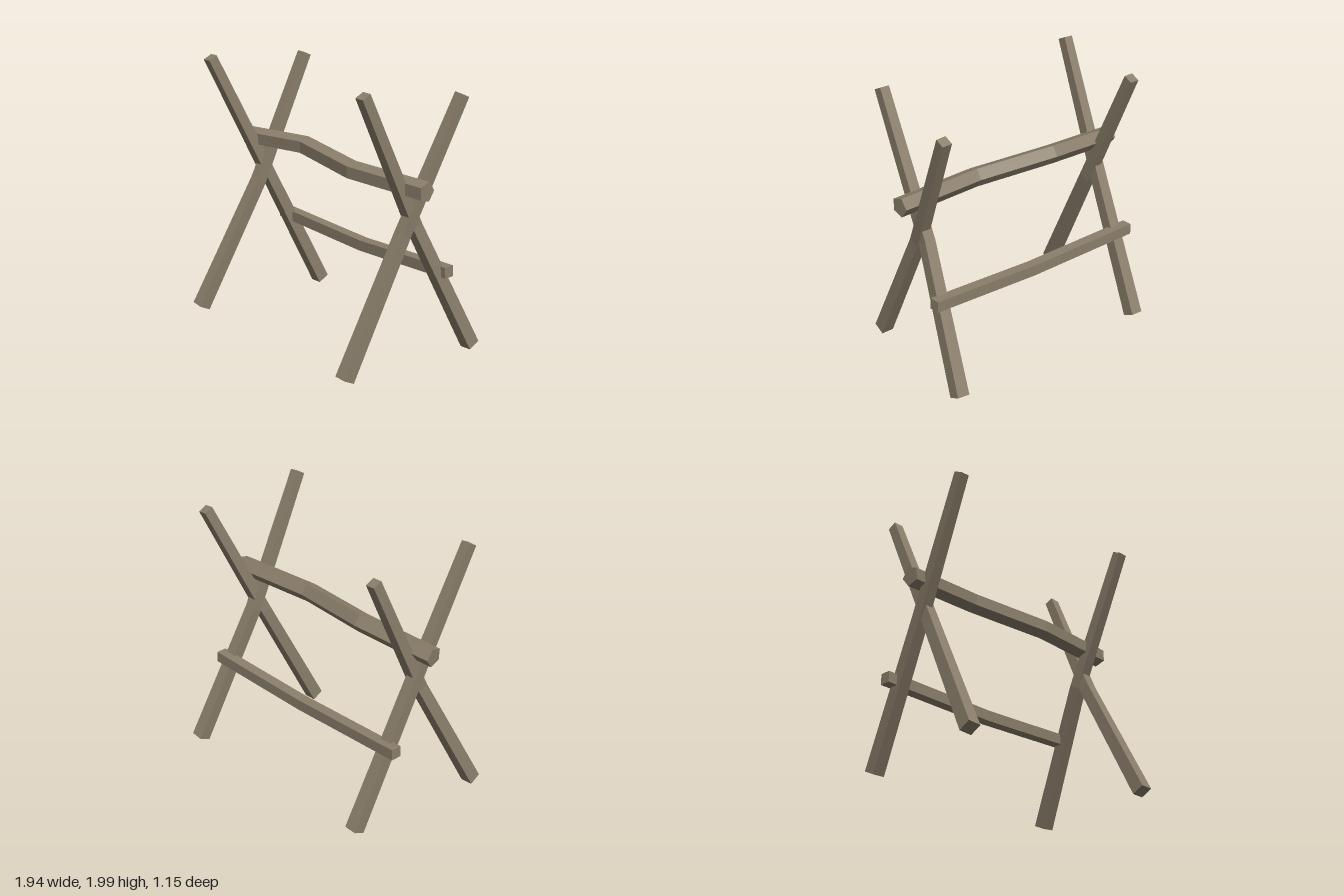
import * as THREE from 'three';

// A bent timber: an n-sided section swept along points, mitred at each bend.
// One flat of the section faces 'ref'; radii gives the corner radius per point.
function timber(points, radii, sides, ref) {
  const path = points.map((p) => new THREE.Vector3(...p));
  const last = path.length - 1;
  const positions = [];
  const index = [];

  path.forEach((p, i) => {
    const t = new THREE.Vector3();
    if (i > 0) t.add(p.clone().sub(path[i - 1]).normalize());
    if (i < last) t.add(path[i + 1].clone().sub(p).normalize());
    t.normalize();
    const v = t.clone().cross(ref).normalize();
    const u = v.clone().cross(t);
    for (let j = 0; j < sides; j++) {
      const a = ((j + 0.5) * 2 * Math.PI) / sides;
      const c = p.clone()
        .addScaledVector(u, Math.cos(a) * radii[i])
        .addScaledVector(v, Math.sin(a) * radii[i]);
      positions.push(c.x, c.y, c.z);
    }
  });

  // Side faces
  for (let i = 0; i < last; i++) {
    for (let j = 0; j < sides; j++) {
      const k = (j + 1) % sides;
      const a = i * sides + j, b = i * sides + k;
      index.push(a, b, b + sides, a, b + sides, a + sides);
    }
  }
  // End caps
  const end = last * sides;
  for (let j = 1; j < sides - 1; j++) {
    index.push(0, j + 1, j, end, end + j, end + j + 1);
  }

  const indexed = new THREE.BufferGeometry();
  indexed.setAttribute('position', new THREE.Float32BufferAttribute(positions, 3));
  indexed.setIndex(index);
  const geometry = indexed.toNonIndexed(); // separate faces keep the edges sharp
  geometry.computeVertexNormals();
  return geometry;
}

export function createModel() {
  const model = new THREE.Group();
  model.name = 'woodenRack';

  const wood = new THREE.MeshStandardMaterial({ color: 0x8b7f6b });
  wood.name = 'weatheredWood';

  const X = new THREE.Vector3(1, 0, 0);
  const Z = new THREE.Vector3(0, 0, 1);

  function add(name, geometry) {
    const mesh = new THREE.Mesh(geometry, wood);
    mesh.name = name;
    model.add(mesh);
  }

  // Crossed legs: foot, bend, tip; square and tapering upwards
  const legs = {
    leftFrontLeg: [[0.765, 0.028, 0.535], [0.785, 0.96, 0.04], [0.877, 1.877, -0.395]],
    leftBackLeg: [[0.897, 0.028, -0.53], [0.788, 1.0, -0.06], [0.78, 1.975, 0.403]],
    rightFrontLeg: [[-0.9, 0.028, 0.535], [-0.805, 0.96, 0.04], [-0.783, 1.88, -0.395]],
    rightBackLeg: [[-0.767, 0.028, -0.53], [-0.82, 1.0, -0.055], [-0.883, 1.94, 0.4]],
  };
  const legRadii = [0.095, 0.084, 0.072].map((side) => side / Math.SQRT2);
  for (const [name, points] of Object.entries(legs)) {
    add(name, timber(points, legRadii, 4, X));
  }

  // Five-sided bar resting in the crotch of the legs
  add('topBar', timber(
    [[-0.966, 1.265, 0], [-0.345, 1.31, -0.05], [0.28, 1.288, 0.042], [0.963, 1.293, -0.003]],
    [0.072, 0.072, 0.072, 0.072], 5, Z));

  // Square brace across the back legs
  const braceRadius = 0.08 / Math.SQRT2;
  add('backBrace', timber(
    [[-0.914, 0.615, -0.285], [0.03, 0.6, -0.275], [0.911, 0.643, -0.285]],
    [braceRadius, braceRadius, braceRadius], 4, Z));

  return model;
}
